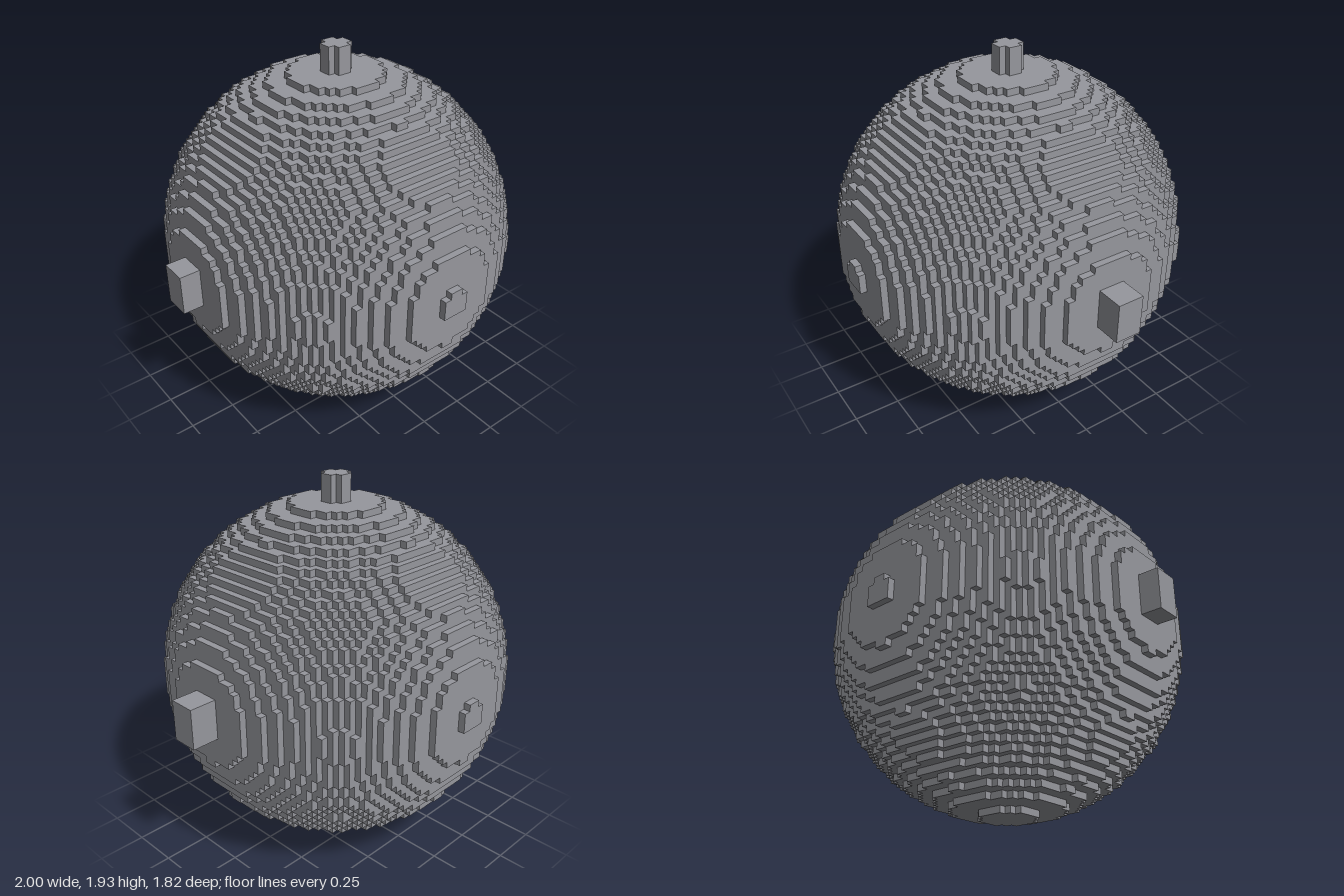
import * as THREE from 'three';

const S = 2 / 57;            // cube size
const CX = -0.5;             // centre of the body in cubes
const CY = 25.8;
const R2 = 655.3;            // squared radius in cubes

const filled = (i, j, k) => {
  const x = i + 0.5, y = j + 0.5 - CY, z = k + 0.5;
  return j >= 0 && x * x + y * y + z * z <= R2;
};

// Stepped ball: one square for every exposed cube side
function ballGeometry() {
  const pos = [], nor = [], idx = [];
  const N = 27;
  for (let i = -N; i < N; i++) for (let j = 0; j < 2 * N; j++) for (let k = -N; k < N; k++) {
    if (!filled(i, j, k)) continue;
    for (let axis = 0; axis < 3; axis++) for (const side of [-1, 1]) {
      const n = [0, 0, 0];
      n[axis] = side;
      if (filled(i + n[0], j + n[1], k + n[2])) continue;
      const u = (axis + 1) % 3, v = (axis + 2) % 3;
      const base = pos.length / 3;
      for (const [a, b] of [[0, 0], [1, 0], [1, 1], [0, 1]]) {
        const p = [i + CX, j, k];
        p[axis] += side > 0 ? 1 : 0;
        p[u] += a;
        p[v] += b;
        pos.push(p[0] * S, p[1] * S, p[2] * S);
        nor.push(...n);
      }
      const order = side > 0 ? [0, 1, 2, 0, 2, 3] : [0, 2, 1, 0, 3, 2];
      idx.push(...order.map((o) => base + o));
    }
  }
  const g = new THREE.BufferGeometry();
  g.setAttribute('position', new THREE.Float32BufferAttribute(pos, 3));
  g.setAttribute('normal', new THREE.Float32BufferAttribute(nor, 3));
  g.setIndex(idx);
  return g;
}

export function createModel() {
  const model = new THREE.Group();
  const grey = new THREE.MeshStandardMaterial({ color: 0x96979d });
  grey.name = 'grey';

  const add = (name, geometry) => {
    const mesh = new THREE.Mesh(geometry, grey);
    mesh.name = name;
    model.add(mesh);
    return mesh;
  };

  // Box given by its limits in cubes
  const box = (name, x0, x1, y0, y1, z0, z1) =>
    add(name, new THREE.BoxGeometry((x1 - x0) * S, (y1 - y0) * S, (z1 - z0) * S))
      .position.set((x0 + x1) * S / 2, (y0 + y1) * S / 2, (z0 + z1) * S / 2);

  add('ball', ballGeometry());

  // Side lugs
  box('rightLug', -28.5, -25.5, 23, 29, -2, 2);
  box('leftLug', 24.5, 28.5, 23, 29, -2, 2);

  // Top peg with notched corners
  const peg = new THREE.Shape([
    [-2, -1], [-1, -1], [-1, -2], [1, -2], [1, -1], [2, -1],
    [2, 1], [1, 1], [1, 2], [-1, 2], [-1, 1], [-2, 1],
  ].map(([x, z]) => new THREE.Vector2(x * S, z * S)));
  const pegGeometry = new THREE.ExtrudeGeometry(peg, { depth: 4 * S, bevelEnabled: false });
  pegGeometry.rotateX(-Math.PI / 2);
  add('topPeg', pegGeometry).position.set(CX * S, 51 * S, 0);

  return model;
}
